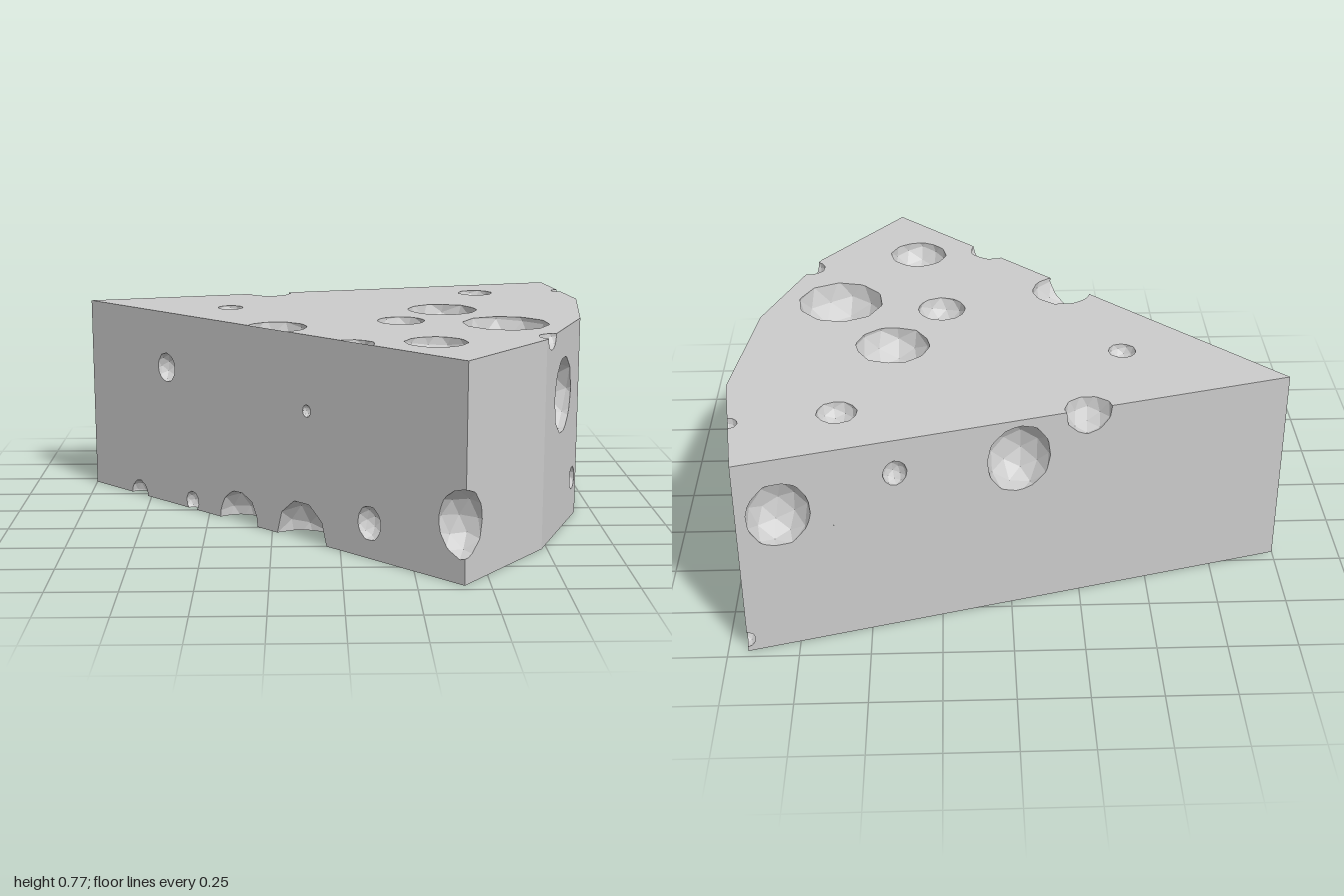
import * as THREE from 'three';

const H = 0.77;
// Wedge footprint (x, z): point, back corner, curved rind, front corner
const OUTLINE = [[-1, -0.45], [0.93, -0.97], [1, -0.45], [0.93, 0.06], [0.73, 0.55], [0.41, 0.96]];

// Holes in the top and bottom: x, z, radius
const TOP_HOLES = [[0.6, -0.64, 0.07], [0.42, -0.17, 0.135], [0.24, 0.11, 0.09], [0.63, 0.18, 0.16],
  [0.335, 0.59, 0.11], [-0.42, -0.24, 0.05], [-0.23, 0.25, 0.115], [0.04, 0.62, 0.08], [0.77, 0.48, 0.06]];
const BOTTOM_HOLES = [[0.665, -0.26, 0.11], [0.33, -0.31, 0.125], [-0.05, -0.31, 0.14], [0.455, 0.07, 0.1],
  [0.12, 0, 0.1], [0.19, 0.42, 0.11], [0.85, 0.03, 0.06], [0.64, 0.38, 0.025], [0.4, 0.79, 0.09],
  [0.49, -0.78, 0.105], [-0.21, -0.65, 0.08], [-0.545, -0.265, 0.095]];
// Holes in the cut faces: x, height, radius
const FRONT_HOLES = [[-0.14, 0, 0.125], [-0.38, 0, 0.105], [-0.8, 0, 0.05], [-0.57, 0.03, 0.035],
  [-0.67, 0.55, 0.05], [0.1, 0.13, 0.055], [-0.12, 0.49, 0.02], [0.4, 0.21, 0.105]];
const BACK_HOLES = [[0.79, 0.55, 0.11], [0.4, 0.64, 0.042], [-0.025, 0.615, 0.115], [-0.27, H, 0.085]];
// Holes in the rind: z, height, radius
const RIND_HOLES = [[0.3, 0.52, 0.125], [-0.06, 0.61, 0.045], [0.12, 0.155, 0.038], [-0.48, 0.6, 0.103],
  [-0.28, 0.13, 0.07], [-0.61, 0.165, 0.08], [-0.33, 0, 0.045], [-0.7, H, 0.033], [-0.94, 0.05, 0.04]];

const planeOf = (p) => new THREE.Plane().setFromCoplanarPoints(p[0], p[1], p[2]);
const frontZ = (x) => THREE.MathUtils.mapLinear(x, -1, 0.41, -0.45, 0.96);
const backZ = (x) => THREE.MathUtils.mapLinear(x, -1, 0.93, -0.45, -0.97);
function rindX(z) {
  const i = OUTLINE.findIndex((p, k) => k > 1 && p[1] >= z);
  const [a, b] = [OUTLINE[i - 1], OUTLINE[i]];
  return THREE.MathUtils.mapLinear(z, a[1], b[1], a[0], b[0]);
}

// Split a convex polygon into the parts outside and inside a plane
function split(poly, plane) {
  const outside = [], inside = [], eps = 1e-7;
  poly.forEach((a, i) => {
    const b = poly[(i + 1) % poly.length];
    const da = plane.distanceToPoint(a), db = plane.distanceToPoint(b);
    if (da >= -eps) outside.push(a);
    if (da <= eps) inside.push(a);
    if ((da > eps && db < -eps) || (da < -eps && db > eps)) {
      const m = a.clone().lerp(b, da / (da - db));
      outside.push(m);
      inside.push(m);
    }
  });
  return [outside, inside];
}

// Keep what lies outside a convex solid
function carve(polys, solid) {
  return polys.flatMap((poly) => {
    if (!new THREE.Box3().setFromPoints(poly).intersectsBox(solid.box)) return [poly];
    const kept = [];
    let rest = poly;
    for (const plane of solid.planes) {
      const [outside, inside] = split(rest, plane);
      if (inside.length < 3) return [poly];
      if (outside.length > 2) kept.push(outside);
      rest = inside;
    }
    return kept;
  });
}

// Faceted ball as a convex solid: shallow in the flat faces, tall in the sides
function makeBall({ x, y, z, r, flat }, index) {
  const geo = new THREE.IcosahedronGeometry(r * 1.03, 1);
  geo.rotateX(0.37 + index * 1.3).rotateY(0.21 + index * 0.7);
  geo.scale(1, flat ? 0.87 : 1.15, 1).translate(x, y, z);
  const pos = geo.attributes.position, faces = [];
  for (let i = 0; i < pos.count; i += 3) {
    faces.push([0, 1, 2].map((k) => new THREE.Vector3().fromBufferAttribute(pos, i + k)));
  }
  return { faces, planes: faces.map(planeOf), box: new THREE.Box3().setFromPoints(faces.flat()), flat };
}

// Flat-shaded mesh from sets of polygons that each share one normal
function polyMesh(name, sets) {
  const position = [], normal = [];
  for (const { polys, n } of sets) {
    for (const p of polys) {
      for (let i = 1; i < p.length - 1; i++) {
        for (const v of [p[0], p[i], p[i + 1]]) {
          position.push(v.x, v.y, v.z);
          normal.push(n.x, n.y, n.z);
        }
      }
    }
  }
  const geo = new THREE.BufferGeometry();
  geo.setAttribute('position', new THREE.Float32BufferAttribute(position, 3));
  geo.setAttribute('normal', new THREE.Float32BufferAttribute(normal, 3));
  const mesh = new THREE.Mesh(geo, new THREE.MeshStandardMaterial({ color: 0xcccccc, flatShading: true }));
  mesh.name = name;
  return mesh;
}

export function createModel() {
  const group = new THREE.Group();
  group.name = 'cheeseWedge';

  // Outer faces of the wedge
  const low = OUTLINE.map(([x, z]) => new THREE.Vector3(x, 0, z));
  const high = OUTLINE.map(([x, z]) => new THREE.Vector3(x, H, z));
  const sideNames = ['backCutFace', 'rind', 'rind', 'rind', 'rind', 'frontCutFace'];
  const faces = [{ name: 'topFace', poly: [...high].reverse() }, { name: 'bottomFace', poly: low }];
  low.forEach((p, i) => {
    const j = (i + 1) % low.length;
    faces.push({ name: sideNames[i], poly: [p, high[i], high[j], low[j]] });
  });
  const wedgePlanes = faces.map((f) => planeOf(f.poly));

  // Balls centred on the faces they hollow out
  const balls = [
    ...TOP_HOLES.map(([x, z, r]) => ({ x, y: H, z, r, flat: true })),
    ...BOTTOM_HOLES.map(([x, z, r]) => ({ x, y: 0, z, r, flat: true })),
    ...FRONT_HOLES.map(([x, y, r]) => ({ x, y, z: frontZ(x), r })),
    ...BACK_HOLES.map(([x, y, r]) => ({ x, y, z: backZ(x), r })),
    ...RIND_HOLES.map(([z, y, r]) => ({ x: rindX(z), y, z, r })),
  ].map(makeBall);

  // Cut the openings; top and bottom holes leave the two cut faces whole
  const parts = {};
  faces.forEach(({ name, poly }, i) => {
    let polys = [poly];
    for (const ball of balls) {
      if (!(ball.flat && name.endsWith('CutFace'))) polys = carve(polys, ball);
    }
    (parts[name] ??= []).push({ polys, n: wedgePlanes[i].normal });
  });
  for (const name in parts) group.add(polyMesh(name, parts[name]));

  // Hollow insides: ball facets within the wedge, turned inward
  const hollows = [];
  for (const ball of balls) {
    ball.faces.forEach((face, i) => {
      let poly = face;
      for (const plane of wedgePlanes) poly = split(poly, plane)[1];
      if (poly.length < 3) return;
      let polys = [poly];
      for (const other of balls) if (other !== ball) polys = carve(polys, other);
      hollows.push({ polys: polys.map((p) => [...p].reverse()), n: ball.planes[i].normal.clone().negate() });
    });
  }
  group.add(polyMesh('holeHollows', hollows));
  return group;
}
